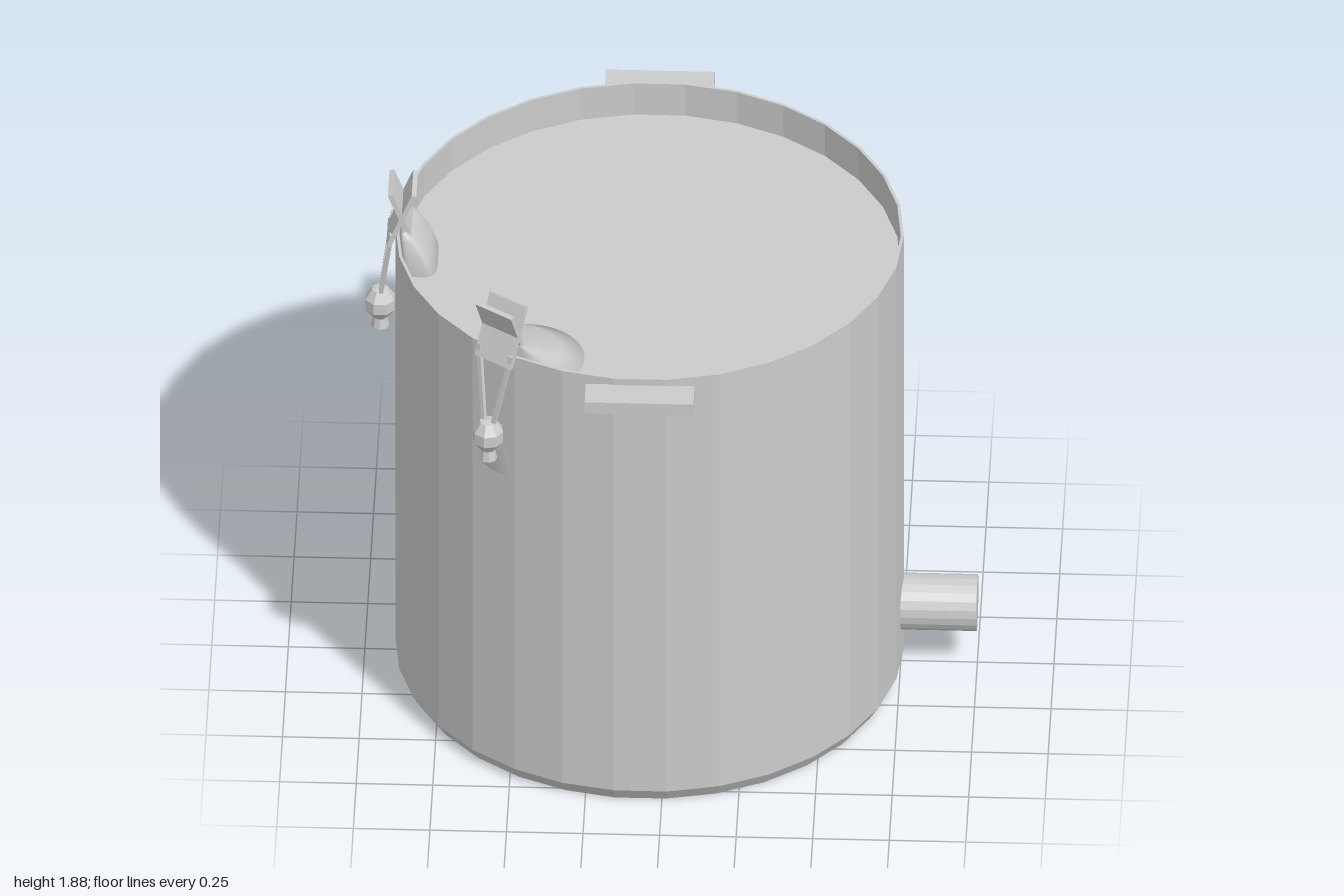
import * as THREE from 'three';

const POT_X = -0.07; // axis of the vessel

export function createModel() {
  const model = new THREE.Group();
  const flat = new THREE.MeshStandardMaterial({ color: 0xcccccc, flatShading: true });
  const smooth = new THREE.MeshStandardMaterial({ color: 0xcccccc, side: THREE.DoubleSide });

  const add = (parent, name, geometry, material = flat) => {
    const mesh = new THREE.Mesh(geometry, material);
    mesh.name = name;
    parent.add(mesh);
    return mesh;
  };

  const lathe = (pts, sides, start = 0) =>
    new THREE.LatheGeometry(pts.map(p => new THREE.Vector2(...p)), sides, start);

  // Closed loft through superellipse rings: [y, centre x, half x, half z, roundness]
  const loft = (rings, n = 32) => {
    const pos = [], index = [];
    const pw = (v, e) => Math.sign(v) * Math.pow(Math.abs(v), e);
    rings.forEach(([y, cx, hx, hz, e], r) => {
      for (let i = 0; i < n; i++) {
        const a = (i / n) * Math.PI * 2;
        pos.push(cx + hx * pw(Math.cos(a), e), y, hz * pw(Math.sin(a), e));
        if (r === 0) continue;
        const j = (i + 1) % n, p = (r - 1) * n, q = r * n;
        index.push(p + i, p + j, q + i, p + j, q + j, q + i);
      }
    });
    const g = new THREE.BufferGeometry();
    g.setAttribute('position', new THREE.Float32BufferAttribute(pos, 3));
    g.setIndex(index);
    g.computeVertexNormals();
    return g;
  };

  // Thin bar between two points in the x-y plane
  const bar = (parent, name, a, b, thickness, width) => {
    const d = new THREE.Vector3().subVectors(b, a);
    const m = add(parent, name, new THREE.BoxGeometry(thickness, d.length(), width));
    m.position.addVectors(a, b).multiplyScalar(0.5);
    m.quaternion.setFromUnitVectors(new THREE.Vector3(0, 1, 0), d.normalize());
    return m;
  };
  const V = (x, y, z = 0) => new THREE.Vector3(x, y, z);

  // Vessel with chamfered foot, thin rim and the liquid surface inside
  add(model, 'pot', lathe([[0, 0], [0.8, 0], [0.83, 0.05], [0.83, 1.71], [0.82, 1.71], [0.82, 1.585]],
    30, Math.PI / 2)).position.x = POT_X;
  add(model, 'liquidSurface', lathe([[0.82, 1.585], [0, 1.585]], 30, Math.PI / 2)).position.x = POT_X;

  // Outlet pipe
  const pipe = add(model, 'outletPipe', new THREE.CylinderGeometry(0.093, 0.093, 0.26, 20));
  pipe.rotation.z = -Math.PI / 2;
  pipe.position.set(0.87, 0.24, 0);

  // Handles at front and back
  for (const s of [1, -1]) {
    add(model, s > 0 ? 'frontHandle' : 'backHandle', new THREE.BoxGeometry(0.355, 0.045, 0.103))
      .position.set(POT_X, 1.662, s * 0.8735);
  }

  // Clip with weighted cord, built on the -x side of the vessel axis
  const clip = (name, angle, bagRings) => {
    const g = new THREE.Group();
    g.name = name;
    g.position.x = POT_X;
    g.rotation.y = angle;
    model.add(g);

    // Two crossed plates
    bar(g, 'clipPlateInner', V(-0.765, 1.675), V(-0.845, 1.88), 0.016, 0.145);
    bar(g, 'clipPlateOuter', V(-0.85, 1.675), V(-0.767, 1.88), 0.016, 0.145);

    // Cords running together at the weight
    for (const s of [1, -1]) {
      bar(g, 'cord', V(-0.88, 1.43, s * 0.016), V(-0.84, 1.72, s * 0.066), 0.014, 0.014);
    }

    // Faceted weight and its flared tail
    add(g, 'weight', lathe([[0, 1.345], [0.025, 1.345], [0.051, 1.38], [0.051, 1.42],
      [0.028, 1.455], [0, 1.46]], 8, Math.PI / 8)).position.x = -0.88;
    add(g, 'weightTail', new THREE.CylinderGeometry(0.02, 0.03, 0.05, 8)).position.set(-0.88, 1.332, 0);

    add(g, 'bag', loft(bagRings), smooth);
  };

  // Slim bag at the side
  clip('sideClip', 0, [
    [1.2, -0.75, 0.001, 0.001, 0.6],
    [1.25, -0.75, 0.05, 0.1, 0.6],
    [1.585, -0.752, 0.062, 0.115, 0.5],
    [1.65, -0.765, 0.05, 0.113, 0.5],
    [1.71, -0.785, 0.03, 0.1, 0.5],
    [1.735, -0.8, 0.012, 0.085, 0.5],
    [1.737, -0.8, 0.001, 0.08, 0.5],
  ]);

  // Full bag towards the front, spreading into the liquid
  clip('frontClip', 0.966, [
    [1.13, -0.68, 0.001, 0.001, 1],
    [1.15, -0.67, 0.1, 0.1, 1],
    [1.23, -0.658, 0.18, 0.18, 1],
    [1.4, -0.65, 0.172, 0.185, 1],
    [1.585, -0.65, 0.17, 0.182, 1],
    [1.65, -0.7, 0.115, 0.148, 0.95],
    [1.71, -0.765, 0.045, 0.105, 0.8],
    [1.74, -0.8, 0.012, 0.085, 0.7],
    [1.742, -0.8, 0.001, 0.08, 0.7],
  ]);

  return model;
}
